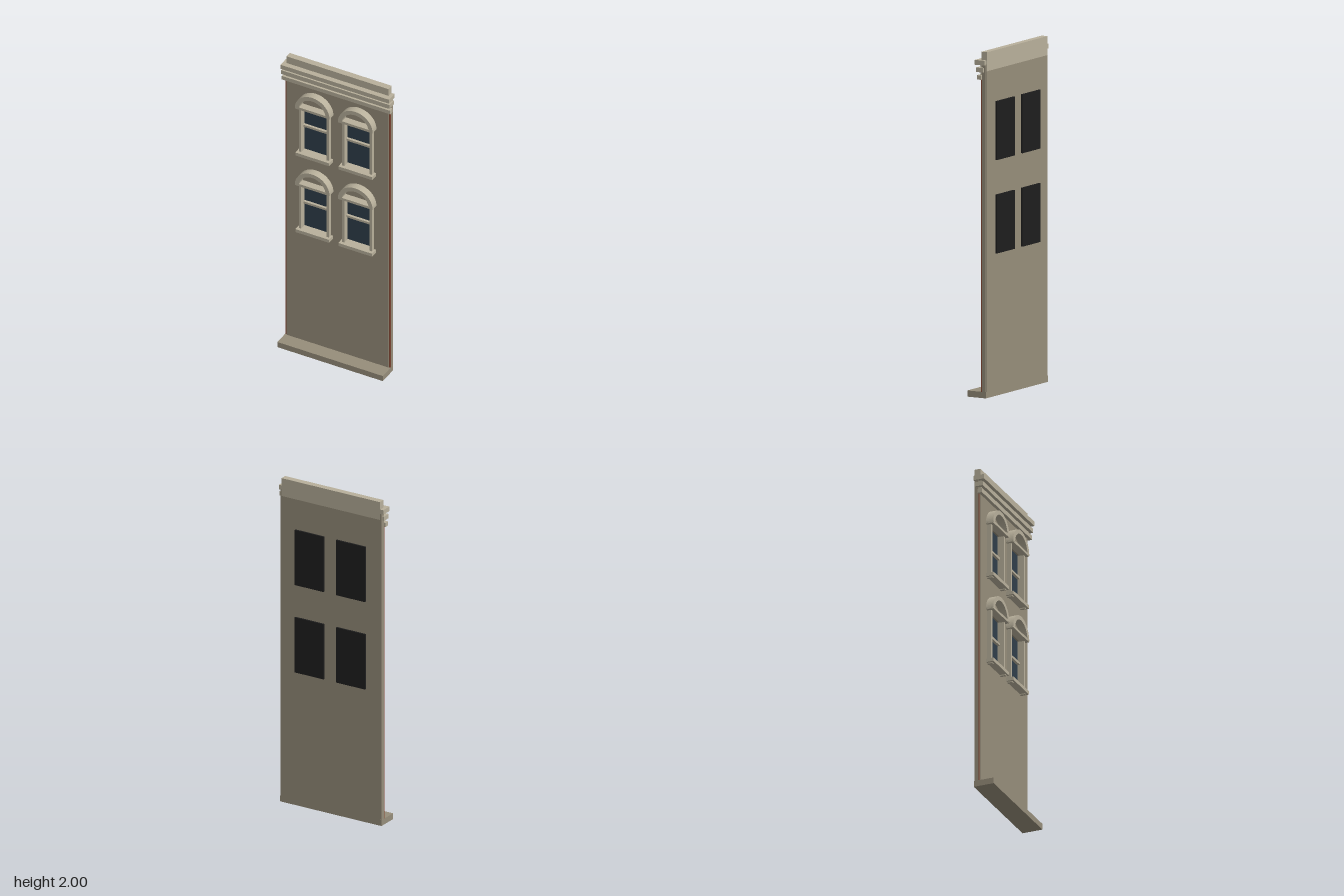
import * as THREE from 'three';

const mat = (name, color) => {
  const m = new THREE.MeshStandardMaterial({ color });
  m.name = name;
  return m;
};

export function createModel() {
  const wallMat = mat('taupe wall', 0x968d7a);
  const stone = mat('pale stone', 0xb8b09b);
  const glass = mat('dark glass', 0x2f3e4a);
  const black = mat('black backing', 0x1e1e1e);
  const brick = mat('red brick', 0x8a4c38);

  const root = new THREE.Group();
  root.name = 'facade';

  // Box given by its limits on each axis
  const box = (parent, name, material, x0, x1, y0, y1, z0, z1) => {
    const g = new THREE.BoxGeometry(x1 - x0, y1 - y0, z1 - z0);
    g.translate((x0 + x1) / 2, (y0 + y1) / 2, (z0 + z1) / 2);
    const m = new THREE.Mesh(g, material);
    m.name = name;
    parent.add(m);
    return m;
  };

  const columns = [-0.14, 0.14];
  const rows = [0.83, 1.37]; // sill heights
  const back = -0.057, front = -0.021;
  const halfGlass = 0.083, openingHeight = 0.322;

  // Wall pierced by the window openings
  const outline = new THREE.Shape();
  outline.moveTo(-0.332, 0).lineTo(0.332, 0).lineTo(0.332, 1.89).lineTo(-0.332, 1.89).closePath();
  for (const x of columns) for (const y of rows) {
    const hole = new THREE.Path();
    hole.moveTo(x - halfGlass, y).lineTo(x - halfGlass, y + openingHeight);
    hole.lineTo(x + halfGlass, y + openingHeight).lineTo(x + halfGlass, y).closePath();
    outline.holes.push(hole);
  }
  const wallGeo = new THREE.ExtrudeGeometry(outline, { depth: front - back, bevelEnabled: false });
  wallGeo.translate(0, 0, back);
  const wall = new THREE.Mesh(wallGeo, wallMat);
  wall.name = 'wall';
  root.add(wall);

  // Side returns with brick front edges
  for (const s of [-1, 1]) {
    const a = s > 0 ? 0.332 : -0.342, b = a + 0.01;
    box(root, 'sideReturn', wallMat, a, b, 0.03, 1.93, -0.054, -0.029);
    box(root, 'brickEdge', brick, a, b, 0.03, 1.845, -0.029, -0.025);
  }

  // Plinth, parapet and stepped cornice
  box(root, 'plinth', wallMat, -0.343, 0.343, 0, 0.036, -0.056, 0.067);
  box(root, 'parapet', stone, -0.332, 0.332, 1.89, 2, -0.058, -0.02);
  box(root, 'corniceBacking', stone, -0.333, 0.333, 1.845, 1.94, -0.03, -0.015);
  box(root, 'corniceTop', stone, -0.353, 0.353, 1.925, 1.953, -0.054, 0.012);
  box(root, 'corniceMiddle', stone, -0.353, 0.353, 1.884, 1.91, -0.045, 0.004);
  box(root, 'corniceBottom', stone, -0.353, 0.353, 1.841, 1.866, -0.03, -0.002);

  // Half-ring hood over each window
  const ring = new THREE.Shape();
  ring.absarc(0, 0, 0.113, 0, Math.PI, false);
  ring.lineTo(-0.087, 0);
  ring.absarc(0, 0, 0.087, Math.PI, 0, true);
  ring.closePath();
  const hoodGeo = new THREE.ExtrudeGeometry(ring, { depth: 0.047, bevelEnabled: false, curveSegments: 16 });
  hoodGeo.scale(1, 0.97, 1);
  hoodGeo.translate(0, openingHeight, -0.022);

  for (const x of columns) for (const y of rows) {
    const win = new THREE.Group();
    win.name = 'window';
    win.position.set(x, y, 0);
    root.add(win);

    const hood = new THREE.Mesh(hoodGeo, stone);
    hood.name = 'archedHood';
    win.add(hood);
    box(win, 'lintel', stone, -0.112, 0.112, 0.318, 0.334, -0.022, 0.024);

    // Jambs and sill with small brackets
    for (const s of [-1, 1]) {
      const c = s * 0.09;
      box(win, 'jamb', stone, c - 0.008, c + 0.008, 0, 0.32, -0.035, 0.005);
      box(win, 'sillBracket', stone, c - 0.008, c + 0.008, -0.018, -0.01, -0.022, 0.012);
    }
    box(win, 'sill', stone, -0.11, 0.11, -0.012, 0.009, -0.035, 0.025);

    // Panes, meeting rail and backing board
    box(win, 'pane', glass, -halfGlass, halfGlass, 0, openingHeight, -0.044, -0.036);
    box(win, 'meetingRail', stone, -halfGlass, halfGlass, 0.172, 0.186, -0.037, -0.02);
    box(win, 'backing', black, -0.098, 0.098, -0.006, 0.334, -0.068, -0.056);
  }
  return root;
}
